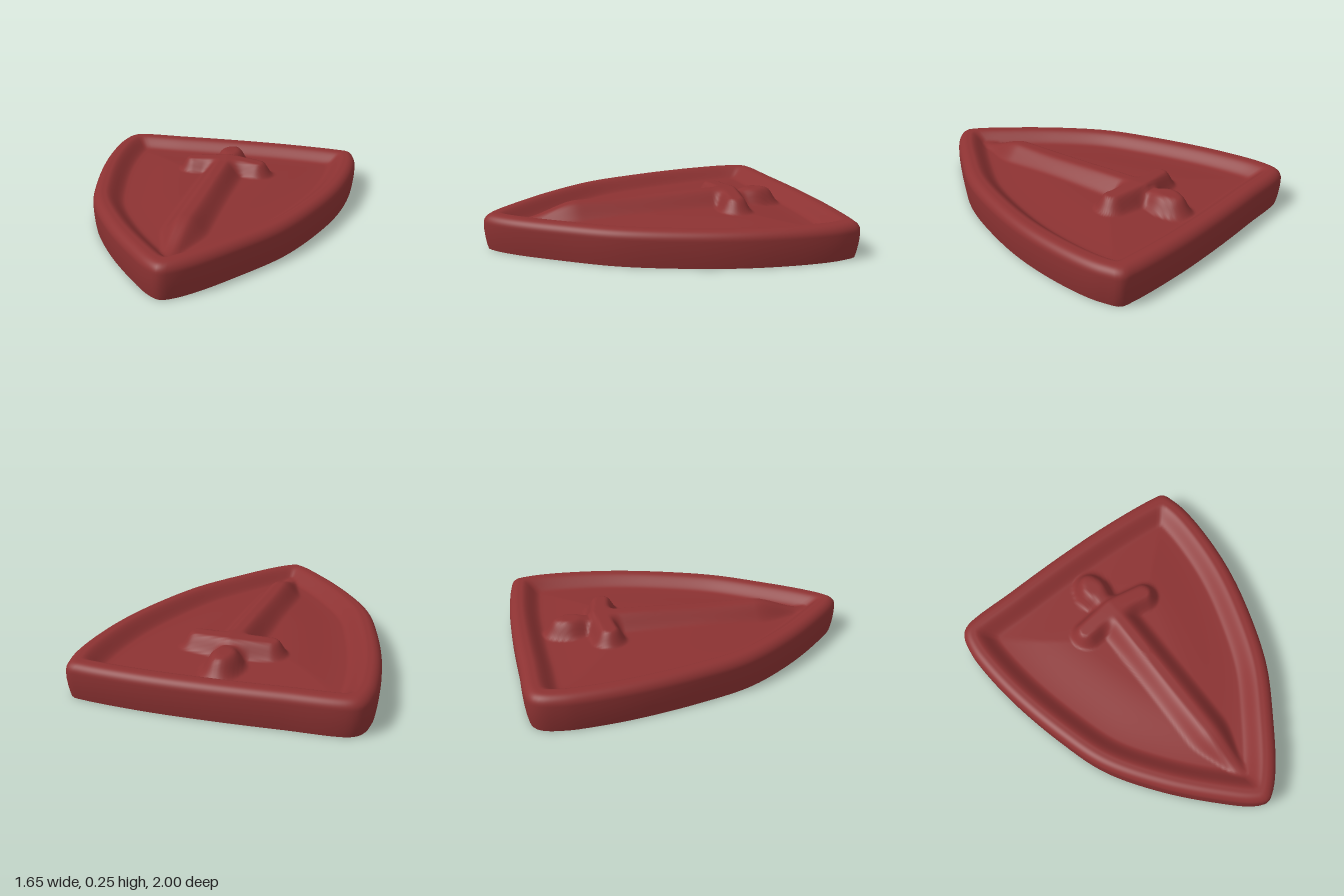
import * as THREE from 'three';

const { smoothstep, lerp, clamp } = THREE.MathUtils;

// Outline of the shield as x, z pairs, starting on the back edge
const OUTLINE = [
  [0, -0.997], [0.35, -1], [0.7, -0.978], [0.775, -0.96], [0.805, -0.88], [0.82, -0.79], [0.82, -0.6],
  [0.785, -0.31], [0.705, -0.01], [0.56, 0.35], [0.37, 0.64], [0.19, 0.875], [0.09, 0.97], [0.035, 0.997],
  [-0.035, 0.965], [-0.18, 0.83], [-0.405, 0.575], [-0.605, 0.27], [-0.71, -0.04], [-0.79, -0.395],
  [-0.82, -0.66], [-0.82, -0.79], [-0.795, -0.9], [-0.745, -0.947], [-0.39, -0.977],
];
const SIDES = 220, RINGS = 90;
const CENTRE = new THREE.Vector2(0.02, -0.1);
const EDGE_Y = 0.15, RIM_Y = 0.205, ROUND = 0.055;

// Distance from a point to the segment a-b
function segmentDistance(x, z, ax, az, bx, bz) {
  const dx = bx - ax, dz = bz - az;
  const t = clamp(((x - ax) * dx + (z - az) * dz) / (dx * dx + dz * dz), 0, 1);
  return Math.hypot(x - ax - t * dx, z - az - t * dz);
}

// Height of the face: rounded rim, sunken field and sword relief
function faceHeight(x, z, d) {
  if (d < ROUND) {
    const k = 1 - d / ROUND;
    return EDGE_Y + (RIM_Y - EDGE_Y) * Math.sqrt(Math.max(0, 1 - k * k));
  }
  const field = lerp(0.135, 0.16, smoothstep(d, 0.17, 0.55));
  let y = lerp(RIM_Y, field, smoothstep(d, 0.075, 0.19));
  const raise = (top, dist, inner, outer) => {
    y = Math.max(y, lerp(y, top, 1 - smoothstep(dist, inner, outer)));
  };
  // blade, narrowing and sinking to its point
  const taper = 1 - smoothstep(z, 0.45, 0.78);
  const bladeTop = lerp(0.15, lerp(0.252, 0.234, smoothstep(z, -0.45, 0.3)), taper);
  if (z > -0.5) raise(bladeTop, Math.abs(x - 0.015), 0.02, 0.05 + 0.09 * taper);
  // crossguard with drooping ends
  const guard = Math.min(
    segmentDistance(x, z, -0.19, -0.455, 0.02, -0.485),
    segmentDistance(x, z, 0.02, -0.485, 0.23, -0.45));
  raise(0.255 - 0.06 * Math.abs(x - 0.03), guard, 0.035, 0.105);
  // grip and pommel
  raise(0.225, segmentDistance(x, z, 0.01, -0.72, 0.015, -0.5), 0.02, 0.11);
  raise(0.238, Math.hypot(x - 0.005, z + 0.66), 0.04, 0.125);
  return y;
}

export function createModel() {
  const group = new THREE.Group();
  group.name = 'shield';
  const material = new THREE.MeshStandardMaterial({ color: 0x8c3232 });

  const curve = new THREE.CatmullRomCurve3(
    OUTLINE.map(([x, z]) => new THREE.Vector3(x, 0, z)), true, 'centripetal');
  const edge = curve.getSpacedPoints(SIDES).slice(0, SIDES).map(p => new THREE.Vector2(p.x, p.z));

  const edgeDistance = (x, z) => {
    let best = Infinity;
    edge.forEach((a, j) => {
      const b = edge[(j + 1) % SIDES];
      best = Math.min(best, segmentDistance(x, z, a.x, a.y, b.x, b.y));
    });
    return best;
  };

  // Face and side wall: concentric rings, closer together near the rim
  const positions = [], indices = [];
  const addRing = (scale, height) => {
    for (const p of edge) {
      const x = lerp(CENTRE.x, p.x, scale), z = lerp(CENTRE.y, p.y, scale);
      positions.push(x, height(x, z), z);
    }
  };
  for (let i = 0; i <= RINGS; i++) {
    const s = 1 - Math.pow(1 - i / RINGS, 1.5);
    addRing(s, (x, z) => faceHeight(x, z, i === RINGS ? 0 : edgeDistance(x, z)));
  }
  const wall = [[1, 0.11], [0.996, 0.07], [0.99, 0.03], [0.983, 0]];
  wall.forEach(([s, y]) => addRing(s, () => y));
  for (let i = 0; i < RINGS + wall.length; i++) {
    for (let j = 0; j < SIDES; j++) {
      const k = (j + 1) % SIDES;
      const a = i * SIDES + j, b = a + SIDES, c = (i + 1) * SIDES + k, d = i * SIDES + k;
      indices.push(a, c, b);
      if (i > 0) indices.push(a, d, c);
    }
  }
  const faceGeometry = new THREE.BufferGeometry();
  faceGeometry.setAttribute('position', new THREE.Float32BufferAttribute(positions, 3));
  faceGeometry.setIndex(indices);
  faceGeometry.computeVertexNormals();
  const face = new THREE.Mesh(faceGeometry, material);
  face.name = 'shieldFaceWithSword';
  group.add(face);

  // Flat underside
  const shape = new THREE.Shape(edge.map(p => CENTRE.clone().lerp(p, 0.983)));
  const backGeometry = new THREE.ShapeGeometry(shape).rotateX(Math.PI / 2);
  const back = new THREE.Mesh(backGeometry, material);
  back.name = 'shieldBack';
  group.add(back);

  return group;
}
